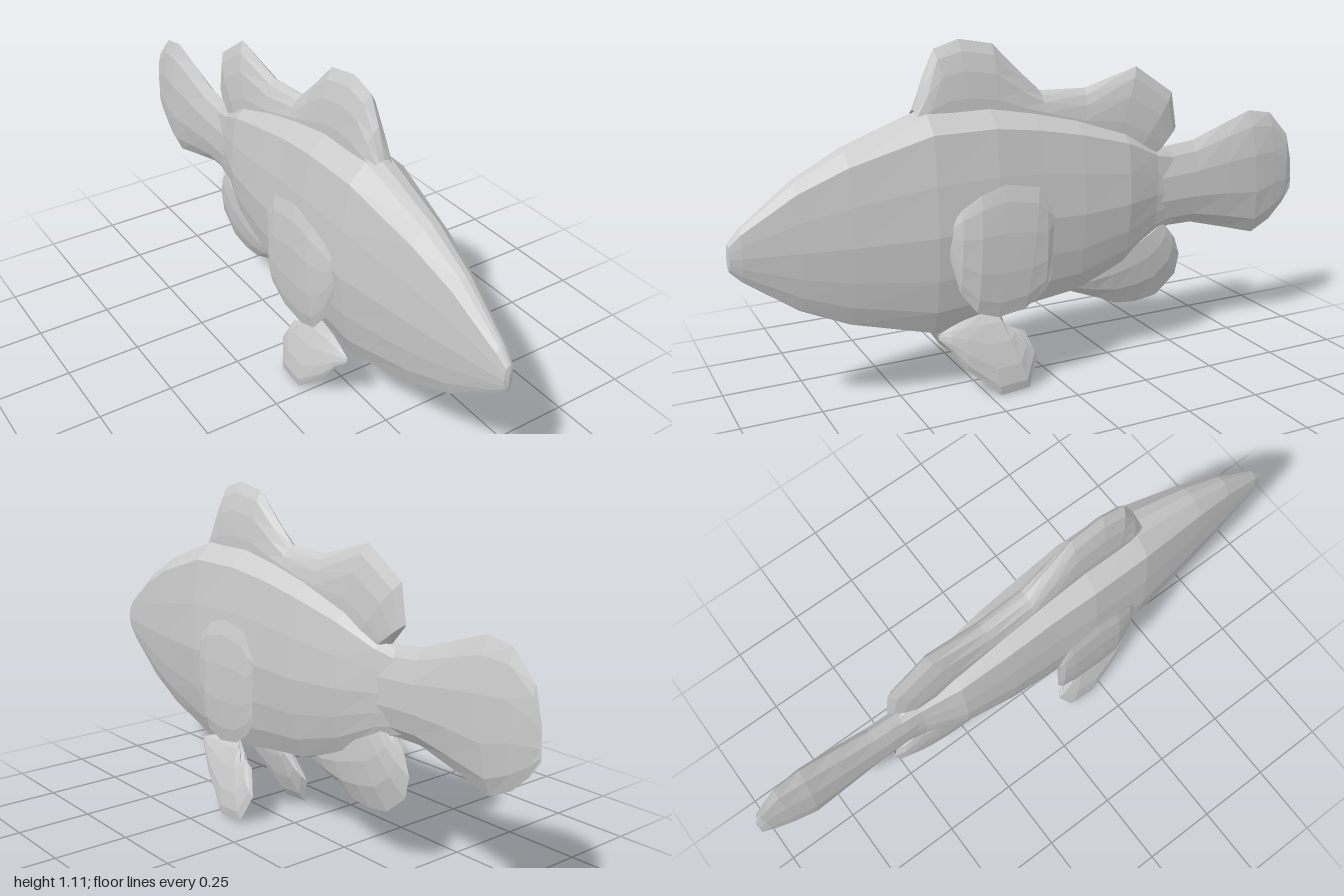
import * as THREE from 'three';

const material = new THREE.MeshStandardMaterial({ color: 0xcccccc, flatShading: true, side: THREE.DoubleSide });

// Half cross-sections: [fraction down from upper edge, fraction of half width]
const BODY = [[0, 0], [0.015, 0.33], [0.09, 0.78], [0.3, 0.93], [0.52, 1], [0.72, 0.88], [0.87, 0.7], [0.98, 0.42], [1, 0]];
const LENS = [[0, 0], [0.12, 0.6], [0.35, 1], [0.65, 1], [0.88, 0.6], [1, 0]];
const DORSAL = [[0, 0], [0.15, 0.45], [0.4, 0.8], [0.75, 1], [1, 1]];
const ANAL = [[0, 1], [0.3, 1], [0.65, 0.7], [1, 0]];

// Skins rings running nose to tail.
// Station: [upper z, upper y, lower z, lower y, half width]; centre(y, z) gives the x of the mid plane.
function loft(name, stations, profile, centre = () => 0) {
  const loop = [
    ...profile.map(([t, w]) => [t, w]),
    ...profile.slice().reverse().map(([t, w]) => [t, -w]),
  ];
  const n = loop.length, pos = [], idx = [];
  for (const [z0, y0, z1, y1, w] of stations) {
    for (const [t, f] of loop) {
      const y = y0 + (y1 - y0) * t, z = z0 + (z1 - z0) * t;
      pos.push(centre(y, z) + f * w, y, z);
    }
  }
  for (let i = 0; i < stations.length - 1; i++) {
    for (let j = 0; j < n; j++) {
      const a = i * n + j, b = i * n + (j + 1) % n;
      idx.push(a, b, a + n, b, b + n, a + n);
    }
  }
  const g = new THREE.BufferGeometry();
  g.setAttribute('position', new THREE.Float32BufferAttribute(pos, 3));
  g.setIndex(idx);
  g.computeVertexNormals();
  const mesh = new THREE.Mesh(g, material);
  mesh.name = name;
  return mesh;
}

export function createModel() {
  const fish = new THREE.Group();
  fish.name = 'fish';

  // Body with upright sections: z, top, bottom, half width
  const body = [
    [1, 0.55, 0.51, 0], [0.995, 0.575, 0.49, 0.015], [0.96, 0.615, 0.455, 0.026],
    [0.8, 0.74, 0.34, 0.055], [0.65, 0.82, 0.27, 0.082], [0.4, 0.91, 0.2, 0.122],
    [0.2, 0.91, 0.22, 0.125], [0.05, 0.885, 0.245, 0.115], [-0.1, 0.85, 0.262, 0.108],
    [-0.28, 0.79, 0.33, 0.09], [-0.41, 0.715, 0.41, 0.045], [-0.5, 0.69, 0.44, 0.03], [-0.56, 0.66, 0.48, 0],
  ].map(([z, top, bottom, w]) => [z, top, z, bottom, w]);
  fish.add(loft('body', body, BODY));

  // Tail fin
  fish.add(loft('tailFin', [
    [-0.38, 0.68, -0.38, 0.46, 0], [-0.42, 0.705, -0.43, 0.43, 0.04], [-0.57, 0.718, -0.57, 0.43, 0.04],
    [-0.7, 0.765, -0.7, 0.395, 0.04], [-0.8, 0.8, -0.835, 0.357, 0.038], [-0.89, 0.785, -0.91, 0.395, 0.026],
    [-0.97, 0.7, -0.965, 0.45, 0.014], [-0.995, 0.6, -1, 0.5, 0],
  ], LENS));

  // Dorsal fin with two lobes
  fish.add(loft('dorsalFin', [
    [0.43, 0.91, 0.43, 0.88, 0.03], [0.4, 1.0, 0.38, 0.88, 0.04], [0.36, 1.085, 0.32, 0.88, 0.042],
    [0.28, 1.11, 0.26, 0.88, 0.042], [0.17, 1.09, 0.17, 0.87, 0.042], [0.08, 1.0, 0.09, 0.86, 0.042],
    [0.01, 0.935, 0.01, 0.85, 0.042], [-0.15, 0.93, -0.13, 0.8, 0.042], [-0.34, 0.985, -0.25, 0.76, 0.04],
    [-0.48, 0.89, -0.34, 0.72, 0.036], [-0.5, 0.77, -0.4, 0.69, 0.025], [-0.45, 0.71, -0.42, 0.67, 0],
  ], DORSAL));

  // Anal fin
  fish.add(loft('analFin', [
    [-0.08, 0.29, -0.08, 0.262, 0.02], [-0.16, 0.32, -0.2, 0.215, 0.036], [-0.23, 0.35, -0.28, 0.18, 0.04],
    [-0.3, 0.38, -0.36, 0.173, 0.04], [-0.35, 0.4, -0.44, 0.185, 0.038], [-0.39, 0.42, -0.515, 0.25, 0.034],
    [-0.42, 0.435, -0.53, 0.32, 0.028], [-0.44, 0.45, -0.51, 0.38, 0.02], [-0.45, 0.46, -0.465, 0.43, 0],
  ], ANAL));

  for (const [side, label] of [[1, 'left'], [-1, 'right']]) {
    // Pectoral fin lying along the flank
    fish.add(loft(label + 'PectoralFin', [
      [0.38, 0.55, 0.38, 0.52, 0], [0.33, 0.62, 0.34, 0.36, 0.016], [0.27, 0.66, 0.29, 0.29, 0.019],
      [0.19, 0.685, 0.22, 0.265, 0.02], [0.08, 0.665, 0.13, 0.28, 0.017], [0.055, 0.62, 0.06, 0.33, 0.012],
      [0.03, 0.57, 0.04, 0.38, 0],
    ], LENS, (y, z) => side * (0.137 - 0.35 * Math.max(0, z - 0.3) + 0.04 * Math.max(0, 0.2 - z))));

    // Pelvic fin splayed outwards below the belly
    fish.add(loft(label + 'PelvicFin', [
      [0.4, 0.22, 0.4, 0.205, 0], [0.36, 0.235, 0.365, 0.165, 0.014], [0.31, 0.25, 0.32, 0.1, 0.02],
      [0.25, 0.26, 0.215, 0.003, 0.022], [0.2, 0.26, 0.115, 0.01, 0.022],
      [0.19, 0.235, 0.075, 0.1, 0.016], [0.19, 0.22, 0.11, 0.185, 0],
    ], LENS, (y) => side * (0.143 - 0.27 * y)));
  }
  return fish;
}
